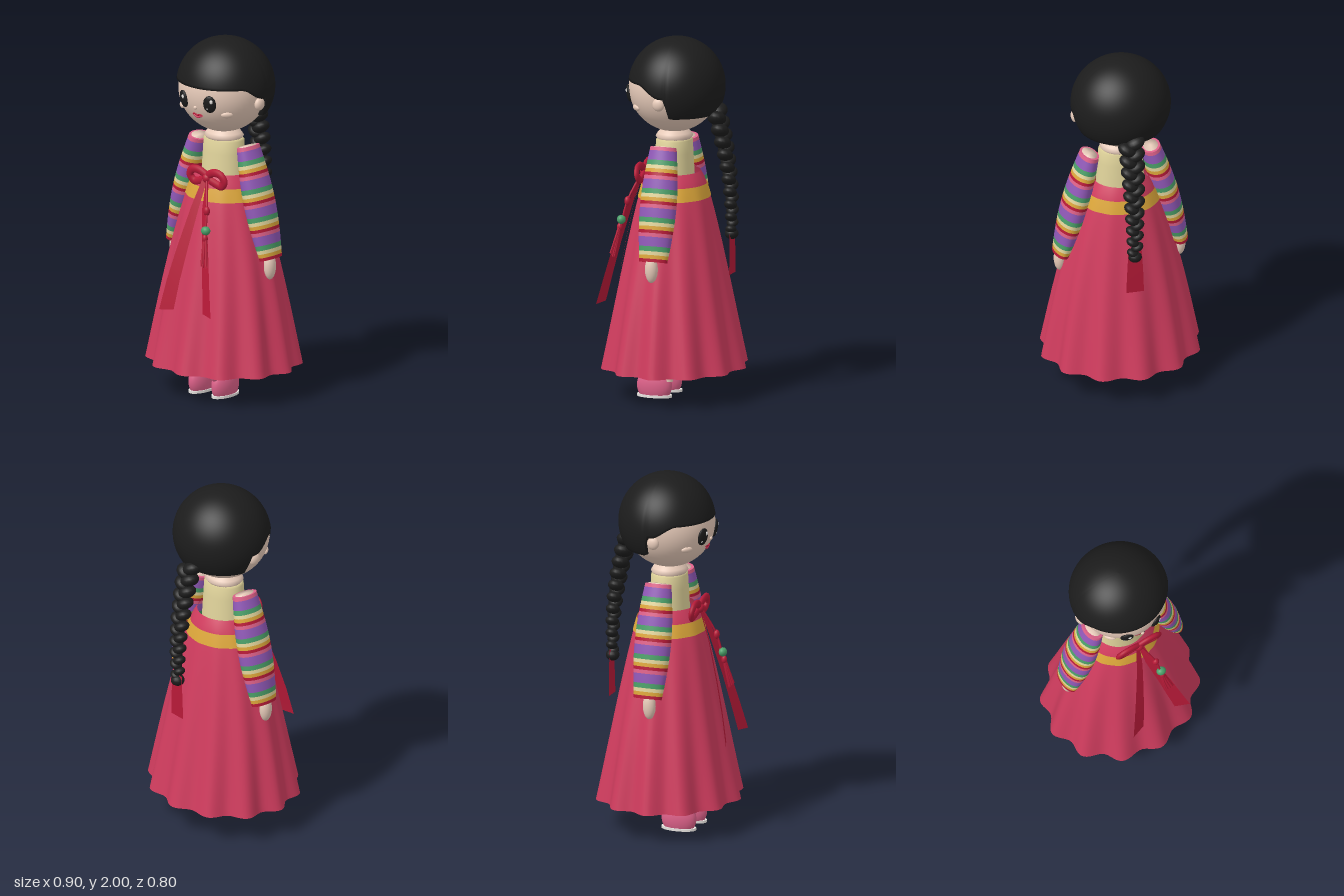
import * as THREE from 'three';

const V = (x, y, z) => new THREE.Vector3(x, y, z);
const lerp = THREE.MathUtils.lerp, smooth = THREE.MathUtils.smoothstep;
const mat = (name, color) => {
  const m = new THREE.MeshStandardMaterial({ color, side: THREE.DoubleSide });
  m.name = name;
  return m;
};

export function createModel() {
  const M = {
    skin: mat('skin', 0xedd0be), hair: mat('black', 0x1c1c1c), skirt: mat('rose', 0xd03c5e),
    red: mat('red', 0xb81a38), gold: mat('gold', 0xdca63a), cream: mat('cream', 0xe2d59c),
    purple: mat('purple', 0x8f58b6), green: mat('green', 0x4a9e68), pink: mat('pink', 0xdd6189),
    white: mat('white', 0xf8f4f0),
  };
  const root = new THREE.Group();
  root.name = 'doll';

  const add = (parent, name, geo, material) => {
    const m = new THREE.Mesh(geo, material);
    m.name = name;
    parent.add(m);
    return m;
  };
  const group = (name, parent = root) => {
    const g = new THREE.Group();
    g.name = name;
    parent.add(g);
    return g;
  };
  const ball = (parent, name, material, p, r, seg = 24, cut = Math.PI) => {
    const geo = new THREE.SphereGeometry(1, seg, Math.ceil(seg * 0.66), 0, Math.PI * 2, 0, cut);
    const m = add(parent, name, geo, material);
    m.position.set(...p);
    m.scale.set(...r);
    return m;
  };
  const tube = (parent, name, material, pts, r, n = 16, closed = false) =>
    add(parent, name, new THREE.TubeGeometry(new THREE.CatmullRomCurve3(pts, closed), n, r, 10, closed), material);

  // Closed ring surface: fn(angle, v) gives a point, v runs from top to bottom
  const rings = (parent, name, material, nu, nv, fn) => {
    const pos = [], idx = [];
    for (let j = 0; j <= nv; j++)
      for (let i = 0; i < nu; i++) pos.push(...fn((i / nu) * Math.PI * 2, j / nv).toArray());
    for (let j = 0; j < nv; j++)
      for (let i = 0; i < nu; i++) {
        const k = (i + 1) % nu, a = j * nu + i, b = j * nu + k, c = a + nu, d = b + nu;
        idx.push(a, c, d, a, d, b);
      }
    const g = new THREE.BufferGeometry();
    g.setAttribute('position', new THREE.Float32BufferAttribute(pos, 3));
    g.setIndex(idx);
    g.computeVertexNormals();
    return add(parent, name, g, material);
  };

  // Flat ribbon through centre points [x, y, z, halfWidth]; tilt and yaw turn its cross line
  const ribbon = (parent, name, pts, tilt = 0, yaw = 0) => {
    const pos = [], idx = [];
    pts.forEach(([x, y, z, w], i) => {
      pos.push(x - w, y - w * tilt, z - w * yaw, x + w, y + w * tilt, z + w * yaw);
      if (i) idx.push(2 * i - 2, 2 * i, 2 * i + 1, 2 * i - 2, 2 * i + 1, 2 * i - 1);
    });
    const g = new THREE.BufferGeometry();
    g.setAttribute('position', new THREE.Float32BufferAttribute(pos, 3));
    g.setIndex(idx);
    g.computeVertexNormals();
    return add(parent, name, g, M.red);
  };

  // Head and features laid on the face sphere
  const head = group('head');
  const R = 0.25, HY = 1.725;
  ball(head, 'face', M.skin, [0, HY, 0], [R, R, R], 48);
  const onFace = (name, material, x, y, r, lift = 0) => {
    const dy = y - HY, z = Math.sqrt(R * R - x * x - dy * dy);
    const n = V(x, dy, z).normalize();
    const m = ball(head, name, material, [x + n.x * lift, y + n.y * lift, z + n.z * lift], r);
    m.lookAt(m.position.clone().add(n));
    return m;
  };
  for (const s of [-1, 1]) {
    onFace('eye', M.hair, s * 0.092, 1.685, [0.037, 0.05, 0.016]);
    onFace('eyeHighlight', M.white, s * 0.092 + 0.012, 1.704, [0.01, 0.012, 0.005], 0.013);
    onFace('eyeGlint', M.white, s * 0.092 - 0.012, 1.664, [0.005, 0.006, 0.004], 0.013);
    onFace('cheek', M.skin, s * 0.16, 1.622, [0.033, 0.018, 0.014]);
    ball(head, 'ear', M.skin, [s * 0.255, 1.668, 0], [0.022, 0.036, 0.034]);
  }
  onFace('nose', M.skin, 0, 1.653, [0.011, 0.011, 0.011]);
  tube(head, 'upperLip', M.red, [V(-0.034, 1.609, 0.218), V(-0.014, 1.613, 0.223), V(0, 1.605, 0.222),
    V(0.014, 1.613, 0.223), V(0.034, 1.609, 0.218)], 0.0045);
  tube(head, 'lowerLip', M.skirt, [V(-0.03, 1.607, 0.218), V(0, 1.595, 0.219), V(0.03, 1.607, 0.218)], 0.006);

  // Hair cap: straight fringe in front, lower at the back, turned in at the edge
  rings(head, 'hairCap', M.hair, 120, 28, (a, v) => {
    const c = Math.cos(a);
    const edge = 1.765 - 0.065 * (1 - smooth(c, 0.02, 0.55)) - 0.115 * (1 - smooth(c, -0.17, -0.06));
    const end = Math.acos((edge - 1.73) / 0.27);
    const last = v > 0.99, t = last ? end : (end * v * 28) / 27, k = last ? 0.88 : 1;
    return V(Math.sin(a) * Math.sin(t) * 0.275 * k, 1.73 + Math.cos(t) * 0.27,
      -0.015 * k + c * Math.sin(t) * 0.265 * k);
  });

  // Braid of alternating plump locks with a ribbon at its end
  const braid = group('braid');
  const path = new THREE.CatmullRomCurve3([V(0, 1.6, -0.245), V(0, 1.5, -0.272), V(0, 1.36, -0.302),
    V(0, 1.2, -0.325), V(0, 1.05, -0.333), V(0, 0.95, -0.333)]);
  const locks = 20;
  for (let i = 0; i < locks; i++) {
    const t = i / (locks - 1), s = i % 2 ? 1 : -1, p = path.getPointAt(t), w = lerp(0.058, 0.034, t);
    const m = ball(braid, 'lock', M.hair, [s * w * 0.36, p.y, p.z], [w, w * 0.66, w * 0.92], 18);
    m.rotation.z = s * 0.45;
  }
  ball(braid, 'braidEnd', M.hair, [0, 0.925, -0.333], [0.038, 0.032, 0.038], 16);
  ribbon(braid, 'braidRibbon', [[0, 0.96, -0.336, 0.038], [0, 0.83, -0.338, 0.045], [0, 0.7, -0.336, 0.05]]);

  // Neck, collar and bodice
  const lathe = (name, material, pts, sz) => {
    const m = add(root, name, new THREE.LatheGeometry(pts.map(p => new THREE.Vector2(...p)), 48), material);
    m.scale.z = sz;
    return m;
  };
  lathe('collar', M.skin, [[0, 1.43], [0.1, 1.43], [0.114, 1.45], [0.102, 1.468], [0.085, 1.485], [0.07, 1.5]], 0.88);
  lathe('bodice', M.cream, [[0, 1.442], [0.105, 1.442], [0.12, 1.43], [0.125, 1.36], [0.132, 1.25], [0.14, 1.12]].reverse(), 0.81);

  // Skirt: widening ellipse whose folds grow toward the hem
  const skirtPoint = (a, y, off = 0) => {
    const t = (1.255 - y) / 1.085, swell = Math.sin(Math.PI * Math.sqrt(t)) * (1 - t);
    const rx = lerp(0.152, 0.428, t) + 0.022 * swell + 0.028 * Math.sin(Math.PI * t);
    const rz = lerp(0.142, 0.383, t) + 0.022 * swell + 0.008 * Math.sin(Math.PI * t);
    const fold = 1 + 0.052 * t * Math.cos(12 * (a - 0.07));
    return V(Math.sin(a) * (rx * fold + off), y, Math.cos(a) * (rz * fold + off));
  };
  rings(root, 'skirt', M.skirt, 144, 28, (a, v) => skirtPoint(a, lerp(1.255, 0.17, v)));
  rings(root, 'waistband', M.gold, 96, 4, (a, v) => skirtPoint(a, lerp(1.187, 1.115, v), 0.004));

  // Arms: striped sleeves, skin inside, small hands
  const stripes = [['pink', 0.13], ['purple', 0.33], ['green', 0.17], ['cream', 0.13], ['gold', 0.13], ['red', 0.11]];
  const sleevePoint = (a, t, k = 1) => {
    const bulge = Math.sin(Math.PI * t);
    const rx = (lerp(0.052, 0.044, t) + 0.025 * bulge) * k, rz = (lerp(0.074, 0.08, t) + 0.026 * bulge) * k;
    const s = Math.sin(a) * rx;
    return V(lerp(0.172, 0.336, t) + s * 0.965, lerp(1.415, 0.805, t) + s * 0.261, Math.cos(a) * rz);
  };
  for (const side of [-1, 1]) {
    const arm = group(side > 0 ? 'leftArm' : 'rightArm');
    arm.scale.x = side;
    let t = 0;
    for (let c = 0; c < 4; c++)
      for (const [color, w] of stripes) {
        const t0 = t, t1 = t + w / 4;
        rings(arm, 'sleeveStripe', M[color], 40, 3, (a, v) => sleevePoint(a, lerp(t0, t1, v)));
        t = t1;
      }
    // Pink rim around the shoulder opening, then the closed inner arm
    rings(arm, 'shoulderRim', M.pink, 40, 1, (a, v) => sleevePoint(a, 0, lerp(0.76, 1, v)));
    rings(arm, 'innerArm', M.skin, 32, 12, (a, v) =>
      sleevePoint(a, lerp(-0.004, 0.985, THREE.MathUtils.clamp((v * 12 - 1) / 10, 0, 1)), v < 0.01 || v > 0.99 ? 0 : 0.78));
    ball(arm, 'hand', M.skin, [0.338, 0.765, 0.01], [0.032, 0.075, 0.036]);
  }

  // Legs and shoes with upturned toes
  for (const side of [-1, 1]) {
    const leg = group(side > 0 ? 'leftLeg' : 'rightLeg');
    leg.position.x = side * 0.082;
    add(leg, 'shin', new THREE.CylinderGeometry(0.034, 0.026, 0.5, 20), M.skin).position.set(0, 0.34, 0.005);
    ball(leg, 'shoe', M.pink, [0, 0.063, 0.086], [0.053, 0.1, 0.1], 28, Math.PI * 0.67);
    ball(leg, 'toeTip', M.pink, [0, 0.125, 0.175], [0.02, 0.028, 0.025], 16);
    const sole = add(leg, 'sole', new THREE.CylinderGeometry(1, 1, 0.014, 32), M.white);
    sole.position.set(0, 0.007, 0.085);
    sole.scale.set(0.052, 1, 0.1);
  }

  // Bow at the chest: two teardrop loops, a knot and two long tails
  const bow = group('bow');
  for (const s of [-1, 1]) {
    const loop = tube(bow, 'bowLoop', M.red, [V(0, 0, 0), V(0.05, 0.034, 0.01), V(0.1, 0.03, 0.01),
      V(0.122, -0.004, 0), V(0.098, -0.036, -0.01), V(0.058, -0.03, -0.01)], 0.023, 48, true);
    loop.position.set(0.02, 1.245, 0.166);
    loop.scale.set(s, 1, 0.6);
  }
  ball(bow, 'knot', M.red, [0.02, 1.24, 0.17], [0.026, 0.026, 0.022]);
  ribbon(bow, 'rightTail', [[0.012, 1.24, 0.172, 0.014], [-0.012, 1.08, 0.232, 0.022], [-0.05, 0.85, 0.296, 0.031],
    [-0.077, 0.68, 0.337, 0.036], [-0.1, 0.515, 0.368, 0.04]], 0.08, -0.35);
  ribbon(bow, 'leftTail', [[0.03, 1.24, 0.172, 0.014], [0.055, 1.08, 0.23, 0.022], [0.112, 0.85, 0.29, 0.031],
    [0.148, 0.68, 0.328, 0.036], [0.182, 0.525, 0.36, 0.04]], -0.08, 0.35);

  // Hanging ornament: cord, beads and tassel
  const charm = group('ornament');
  tube(charm, 'cord', M.red, [V(0.03, 1.23, 0.18), V(0.083, 1.08, 0.243), V(0.1, 0.93, 0.277)], 0.006);
  ball(charm, 'redBead', M.red, [0.083, 1.08, 0.243], [0.019, 0.026, 0.017], 16);
  ball(charm, 'greenBead', M.green, [0.1, 0.978, 0.272], [0.027, 0.025, 0.024], 20);
  ball(charm, 'tasselCap', M.red, [0.102, 0.935, 0.28], [0.016, 0.024, 0.016], 16);
  for (let i = 0; i < 8; i++) {
    const a = (i / 8) * Math.PI * 2, c = Math.cos(a), s = Math.sin(a);
    tube(charm, 'tasselStrand', M.red, [V(0.104 + c * 0.008, 0.935, 0.28 + s * 0.006),
      V(0.114 + c * 0.017, 0.86, 0.297 + s * 0.009), V(0.126 + c * 0.022, 0.785 + 0.012 * s, 0.314 + s * 0.01)], 0.005, 6);
  }
  return root;
}
